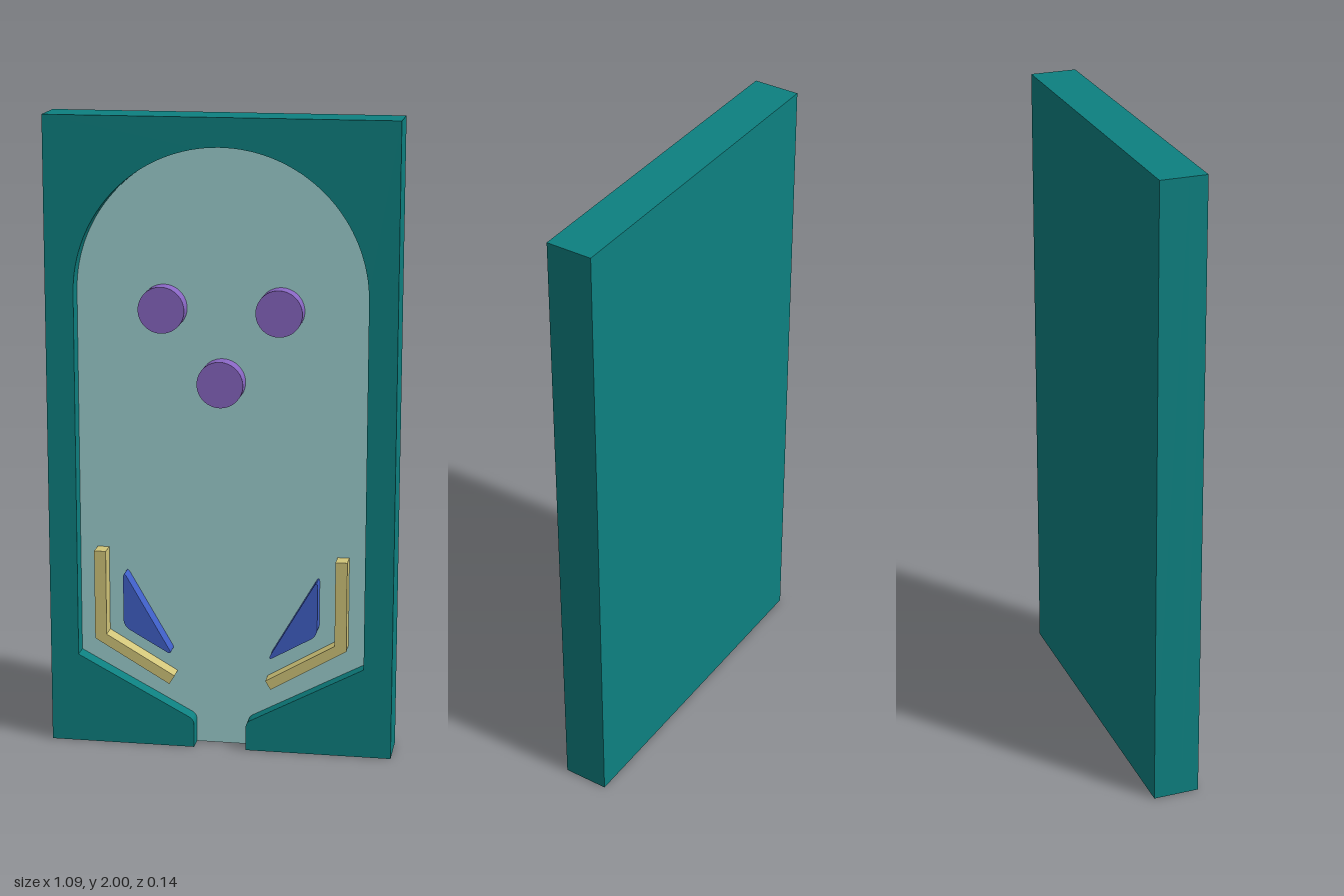
import * as THREE from 'three';
import { toCreasedNormals } from 'three/addons/utils/BufferGeometryUtils.js';

const W = 0.544, H = 2, BACK = -0.0725, FRONT = 0.0725, FLOOR = 0.017;
const FIELD = 0.455, ARC_Y = 1.455, SLOT = 0.083;

const paint = (color) => new THREE.MeshStandardMaterial({ color });

// Solid standing on the field floor, flush with the front
function raised(shape, name, material) {
  const geometry = new THREE.ExtrudeGeometry(shape, {
    depth: FRONT - FLOOR, bevelEnabled: false, curveSegments: 32,
  });
  geometry.translate(0, 0, FLOOR);
  const mesh = new THREE.Mesh(toCreasedNormals(geometry, 0.5), material);
  mesh.name = name;
  return mesh;
}

// Closed polygon whose corners are softened by the given distance
function roundedPolygon(points, cut) {
  const v = points.map(([x, y]) => new THREE.Vector2(x, y));
  const shape = new THREE.Shape();
  v.forEach((p, i) => {
    const toward = (q) => p.clone().add(q.clone().sub(p).setLength(cut));
    const a = toward(v[(i + v.length - 1) % v.length]);
    const b = toward(v[(i + 1) % v.length]);
    if (i === 0) shape.moveTo(a.x, a.y);
    else shape.lineTo(a.x, a.y);
    shape.quadraticCurveTo(p.x, p.y, b.x, b.y);
  });
  shape.closePath();
  return shape;
}

// Playfield edge, from the left side of the drain over the arch to the right side
function traceField(shape) {
  shape.lineTo(-SLOT, 0.075);
  shape.quadraticCurveTo(-SLOT, 0.091, -0.098, 0.1);
  shape.lineTo(-FIELD, 0.29);
  shape.lineTo(-FIELD, ARC_Y);
  shape.absarc(0, ARC_Y, FIELD, Math.PI, 0, true);
  shape.lineTo(FIELD, 0.29);
  shape.lineTo(0.098, 0.1);
  shape.quadraticCurveTo(SLOT, 0.091, SLOT, 0.075);
  shape.lineTo(SLOT, 0);
}

export function createModel() {
  const model = new THREE.Group();
  model.name = 'pinballTable';
  const teal = paint(0x0d8080), pale = paint(0x9dd0d0);
  const purple = paint(0x8866c2), yellow = paint(0xd2c67a), blue = paint(0x4060c8);

  // Back plate
  const plate = new THREE.Mesh(new THREE.BoxGeometry(2 * W, H, FLOOR - BACK), teal);
  plate.position.set(0, H / 2, (FLOOR + BACK) / 2);
  plate.name = 'backPlate';
  model.add(plate);

  // Raised frame around the field, open at the drain
  const frame = new THREE.Shape();
  frame.moveTo(-SLOT, 0);
  traceField(frame);
  frame.lineTo(W, 0);
  frame.lineTo(W, H);
  frame.lineTo(-W, H);
  frame.lineTo(-W, 0);
  frame.closePath();
  model.add(raised(frame, 'frame', teal));

  // Pale field floor
  const field = new THREE.Shape();
  field.moveTo(-SLOT, 0);
  traceField(field);
  field.closePath();
  const floor = new THREE.Mesh(new THREE.ShapeGeometry(field, 32), pale);
  floor.position.z = FLOOR + 0.001;
  floor.name = 'fieldFloor';
  model.add(floor);

  // Three round bumpers
  for (const [x, y] of [[-0.182, 1.41], [0.182, 1.41], [0, 1.183]]) {
    const disc = new THREE.Shape();
    disc.absarc(x, y, 0.072, 0, Math.PI * 2);
    model.add(raised(disc, 'bumper', purple));
  }

  // Mirrored lane guides and slingshots
  const guide = [[0.4, 0.635], [0.4, 0.347], [0.162, 0.207], [0.145, 0.235], [0.363, 0.362], [0.363, 0.635]];
  const sling = [[0.308, 0.575], [0.308, 0.392], [0.15, 0.302]];
  for (const side of [1, -1]) {
    const label = side > 0 ? 'left' : 'right';
    const mirror = (points) => points.map(([x, y]) => [side * x, y]);
    const bar = new THREE.Shape(mirror(guide).map(([x, y]) => new THREE.Vector2(x, y)));
    model.add(raised(bar, label + 'LaneGuide', yellow));
    model.add(raised(roundedPolygon(mirror(sling), 0.025), label + 'Slingshot', blue));
  }
  return model;
}
